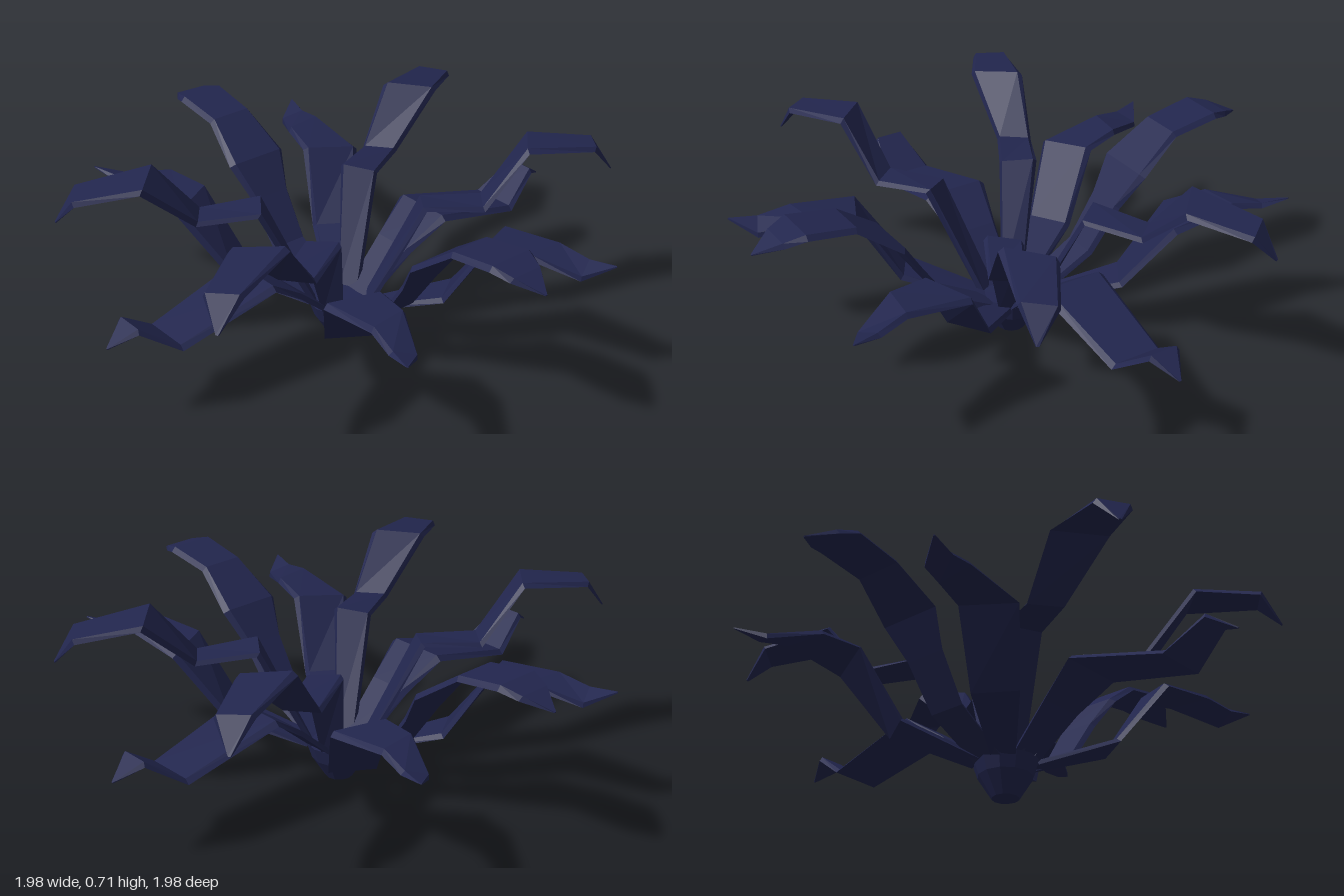
import * as THREE from 'three';

const material = new THREE.MeshStandardMaterial({ color: 0x22264e, flatShading: true, side: THREE.DoubleSide });

// Straight leaf: [distance, height, half width] rows turned into left/right edge points
const alongX = rows => rows.map(([d, y, w]) => [[d, y, -w], [d, y, w]]);
const alongZ = rows => rows.map(([d, y, w]) => [[w, y, d], [-w, y, d]]);

const sideLeaf = alongX([
  [0.07, 0.12, 0.06], [0.25, 0.28, 0.09], [0.39, 0.38, 0.125],
  [0.76, 0.285, 0.1], [0.9, 0.385, 0.06], [0.99, 0.33, 0.003],
]);
const frontLeaf = alongZ([
  [0.08, 0.12, 0.06], [0.3, 0.24, 0.07], [0.41, 0.4, 0.08], [0.49, 0.52, 0.12],
  [0.65, 0.635, 0.09], [0.83, 0.665, 0.095], [0.9, 0.645, 0.068], [0.99, 0.61, 0.003],
]);
// Diagonal leaves: skewed left/right edge points
const tallLeaf = [
  [[0.1, 0.13, 0.02], [0.06, 0.13, 0.09]],
  [[0.27, 0.515, 0.12], [0.19, 0.53, 0.23]],
  [[0.46, 0.505, 0.23], [0.38, 0.505, 0.33]],
  [[0.67, 0.69, 0.245], [0.53, 0.705, 0.385]],
  [[0.86, 0.66, 0.37], [0.78, 0.67, 0.475]],
  [[0.88, 0.565, 0.46], [0.875, 0.565, 0.47]],
];
const lowLeaf = [
  [[0.1, 0.13, 0.06], [0.02, 0.13, 0.1]],
  [[0.3, 0.23, 0.27], [0.16, 0.23, 0.36]],
  [[0.42, 0.46, 0.41], [0.23, 0.48, 0.5]],
  [[0.43, 0.495, 0.66], [0.27, 0.495, 0.64]],
  [[0.45, 0.475, 0.77], [0.365, 0.445, 0.81]],
  [[0.47, 0.485, 0.87], [0.467, 0.485, 0.875]],
];

// Thin leaf with a bevelled upper face, lofted through its edge points
function leafGeometry(rows, sx, sz) {
  const edges = rows.map(row => {
    const pts = row.map(([x, y, z]) => new THREE.Vector3(x * sx, y, z * sz));
    return sx * sz < 0 ? pts.reverse() : pts;
  });
  const mids = edges.map(([l, r]) => l.clone().lerp(r, 0.5));
  const last = edges.length - 1;
  const rings = edges.map(([l, r], i) => {
    const along = mids[Math.min(i + 1, last)].clone().sub(mids[Math.max(i - 1, 0)]);
    const up = r.clone().sub(l).cross(along).normalize();
    const t = i === last ? 0.002 : 0.009;
    return [
      l.clone().lerp(r, 0.08).addScaledVector(up, t),
      r.clone().lerp(l, 0.08).addScaledVector(up, t),
      r.clone().addScaledVector(up, -t),
      l.clone().addScaledVector(up, -t),
    ];
  });
  const tris = [];
  for (let i = 0; i < last; i++) {
    for (let j = 0; j < 4; j++) {
      const k = (j + 1) % 4;
      const [a, b, c, d] = [rings[i][j], rings[i][k], rings[i + 1][k], rings[i + 1][j]];
      tris.push(a, b, c, a, c, d);
    }
  }
  const [a, b, c, d] = rings[last];
  tris.push(a, b, c, a, c, d);
  const geometry = new THREE.BufferGeometry().setFromPoints(tris);
  geometry.computeVertexNormals();
  return geometry;
}

export function createModel() {
  const plant = new THREE.Group();
  plant.name = 'plant';

  const addLeaf = (name, rows, sx, sz) => {
    const leaf = new THREE.Mesh(leafGeometry(rows, sx, sz), material);
    leaf.name = name;
    plant.add(leaf);
  };

  // Root bulb
  const profile = [[0, 0], [0.05, 0], [0.1, 0.08], [0.12, 0.14], [0, 0.13]].map(p => new THREE.Vector2(...p));
  const root = new THREE.Mesh(new THREE.LatheGeometry(profile, 12), material);
  root.name = 'root';
  plant.add(root);

  // Twelve leaves, mirrored across both axes
  for (const sx of [1, -1]) {
    addLeaf(sx > 0 ? 'leftLeaf' : 'rightLeaf', sideLeaf, sx, 1);
    addLeaf(sx > 0 ? 'frontLeaf' : 'backLeaf', frontLeaf, 1, sx);
    for (const sz of [1, -1]) {
      const place = (sz > 0 ? 'front' : 'back') + (sx > 0 ? 'Left' : 'Right');
      addLeaf(place + 'TallLeaf', tallLeaf, sx, sz);
      addLeaf(place + 'LowLeaf', lowLeaf, sx, sz);
    }
  }
  return plant;
}
